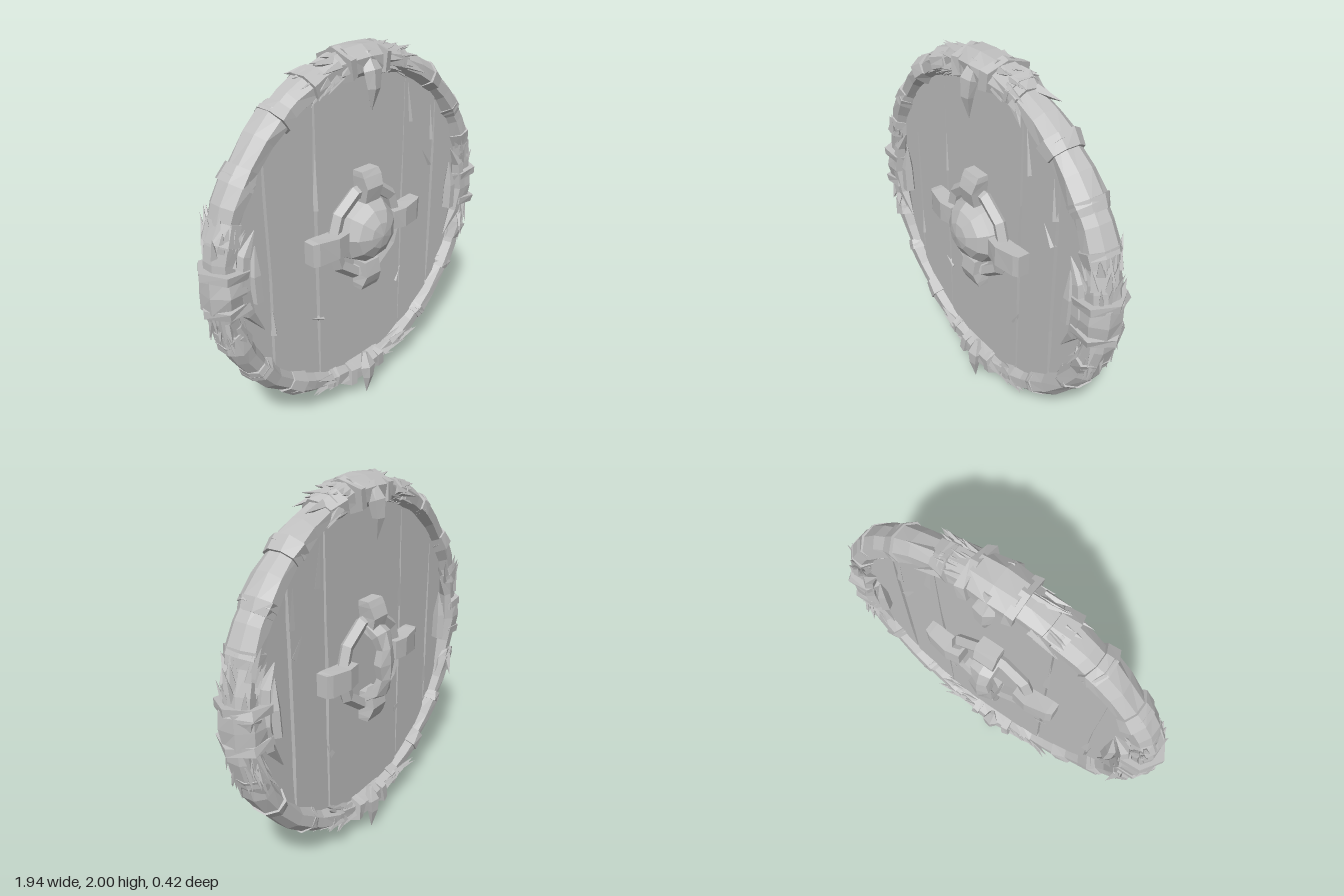
import * as THREE from 'three';
import { mergeGeometries } from 'three/addons/utils/BufferGeometryUtils.js';

const CY = 1.04, RIM = 0.873;
const V = (x, y, z) => new THREE.Vector3(x, y, z);

// small seeded random, returns a value between a and b
let seed = 7;
function rnd(a, b) {
  seed = (seed * 16807) % 2147483647;
  return a + (b - a) * (seed / 2147483647);
}

// faceted bar swept along points; hu is its half size along ref, hv its half size across
function sweep(points, ref, hu, hv, sides = 8, jitter = 0) {
  const rings = points.map((c, i) => {
    const t = points[Math.min(i + 1, points.length - 1)].clone().sub(points[Math.max(i - 1, 0)]).normalize();
    const v = t.cross(ref).normalize();
    const ring = [];
    for (let k = 0; k < sides; k++) {
      const a = ((k + 0.5) / sides) * Math.PI * 2, s = 1 / Math.cos(Math.PI / sides);
      const j = s * (1 + rnd(-jitter, jitter));
      ring.push(c.clone().addScaledVector(ref, Math.cos(a) * hu[i] * j).addScaledVector(v, Math.sin(a) * hv[i] * j));
    }
    return ring;
  });
  const pos = [];
  const tri = (...p) => p.forEach((q) => pos.push(q.x, q.y, q.z));
  const last = points.length - 1;
  for (let k = 0; k < sides; k++) {
    const n = (k + 1) % sides;
    for (let i = 0; i < last; i++) {
      const A = rings[i], B = rings[i + 1];
      tri(A[k], A[n], B[n]);
      tri(A[k], B[n], B[k]);
    }
    tri(points[0], rings[0][n], rings[0][k]);
    tri(points[last], rings[last][k], rings[last][n]);
  }
  const g = new THREE.BufferGeometry();
  g.setAttribute('position', new THREE.Float32BufferAttribute(pos, 3));
  g.computeVertexNormals();
  return g;
}

const onRim = (a, r = RIM, z = 0) => V(Math.cos(a) * r, CY + Math.sin(a) * r, z);
const Z = V(0, 0, 1), X = V(1, 0, 0);

export function createModel() {
  seed = 7;
  const shield = new THREE.Group();
  shield.name = 'roundShield';
  const grey = new THREE.MeshStandardMaterial({ color: 0xc0c0c0, flatShading: true });
  grey.name = 'plain grey';
  const add = (name, geo) => {
    const m = new THREE.Mesh(geo, grey);
    m.name = name;
    shield.add(m);
    return m;
  };

  // vertical planks with rough ends, over a thin core that closes the cracks
  const core = new THREE.CylinderGeometry(0.79, 0.79, 0.05, 28).rotateX(Math.PI / 2).translate(0, CY, 0);
  add('plankCore', core);
  const seams = [-0.82, -0.62, -0.315, 0.32, 0.58, 0.82];
  for (let i = 0; i < 5; i++) {
    const x0 = seams[i] + 0.004, x1 = seams[i + 1] - 0.004, steps = 6;
    const shape = new THREE.Shape();
    for (const s of [-1, 1]) {
      for (let k = 0; k <= steps; k++) {
        const f = s < 0 ? k / steps : 1 - k / steps;
        const x = x0 + (x1 - x0) * f;
        const y = CY + s * Math.sqrt(Math.max(0.004, rnd(0.81, 0.85) ** 2 - x * x));
        if (s < 0 && k === 0) shape.moveTo(x, y);
        else shape.lineTo(x, y);
      }
      // slightly wavering long edge
      const x = s < 0 ? x1 : x0;
      for (const h of [-0.3, 0.05, 0.3]) shape.lineTo(x + (s < 0 ? -1 : 1) * rnd(0, 0.012), CY - s * h);
    }
    const d = [0.086, 0.094, 0.1, 0.092, 0.086][i];
    add('plank', new THREE.ExtrudeGeometry(shape, { depth: d, bevelEnabled: false }).translate(0, 0, -d / 2));
  }

  // splinters lifting off the planks on both faces
  const chips = [];
  for (const [x, y, len, tilt] of [[0.52, 1.3, 0.13, 0.6], [0.55, 1.5, 0.22, 0.1], [-0.61, 0.76, 0.16, 0.05],
    [-0.33, 0.64, 0.1, 1.2], [0.31, 0.65, 0.1, -0.5], [0.36, 1.66, 0.25, 0.15], [-0.31, 1.4, 0.3, 0]]) {
    for (const s of [-1, 1]) {
      chips.push(new THREE.ConeGeometry(0.022, len, 3).scale(1, 1, 0.7).rotateZ(tilt).translate(x, y, s * 0.045));
    }
  }
  add('splinters', mergeGeometries(chips));

  // rim: overlapping wrapped segments with a raised binding at every joint
  const segs = 20, step = (Math.PI * 2) / segs;
  const wraps = [], bindings = [];
  for (let i = 0; i < segs; i++) {
    const a = i * step + rnd(-0.04, 0.04);
    const path = [0, 0.5, 1.15].map((f) => onRim(a + f * step, RIM + rnd(-0.006, 0.006)));
    wraps.push(sweep(path, Z, [0.092, 0.084, 0.074], [0.068, 0.064, 0.056], 8, 0.05));
    const w = rnd(0.03, 0.06), z = rnd(-0.01, 0.01);
    bindings.push(sweep([onRim(a - w), onRim(a + w, RIM, z)], Z, [0.086, 0.098], [0.06, 0.073], 8, 0.07));
  }
  add('rim', mergeGeometries(wraps));
  add('rimBindings', mergeGeometries(bindings));

  // clasps at the four quarters, each with fur tufts sweeping away on both sides
  for (let q = 0; q < 4; q++) {
    const a = (q * Math.PI) / 2, side = q % 2 === 0;
    const r = side ? 0.845 : RIM, h = side ? 0.105 : 0.078;
    const w = side ? 0.1 : 0.13;
    add('clasp', sweep([onRim(a - w, r), onRim(a, r), onRim(a + w, r)], Z, [0.1, 0.11, 0.1], [h, h, h], 8, 0.05));
    for (const e of [-1, 1]) {
      add('claspEdge', sweep([onRim(a + e * w - 0.025, r), onRim(a + e * w + 0.025, r)], Z, [0.115, 0.115], [h, h], 6, 0.08));
      const tuft = [];
      for (let k = 0; k < 30; k++) {
        const off = a + e * rnd(0.13, side ? 0.33 : 0.38), p = rnd(0, Math.PI * 2);
        const radial = V(Math.cos(off), Math.sin(off), 0);
        const tangent = V(-Math.sin(off), Math.cos(off), 0).multiplyScalar(e);
        const out = radial.clone().multiplyScalar(Math.sin(p)).addScaledVector(Z, Math.cos(p));
        const base = onRim(off, RIM + Math.sin(p) * 0.053, Math.cos(p) * 0.085);
        const dir = tangent.addScaledVector(out, rnd(0.12, 0.5)).normalize();
        const len = rnd(0.08, 0.15);
        const turn = new THREE.Quaternion().setFromUnitVectors(V(0, 1, 0), dir);
        tuft.push(new THREE.ConeGeometry(rnd(0.016, 0.03), len, 4).translate(0, len * 0.3, 0)
          .applyQuaternion(turn).translate(base.x, base.y, base.z));
      }
      add('furTuft', mergeGeometries(tuft));
    }
  }

  for (const s of [-1, 1]) {
    // fangs hanging from the top and bottom clasps
    add('topFang', sweep([V(0, 1.96, s * 0.07), V(0, 1.88, s * 0.115), V(0, 1.8, s * 0.125), V(0, 1.69, s * 0.115)],
      X, [0.02, 0.045, 0.032, 0.001], [0.02, 0.03, 0.022, 0.001], 5));
    add('bottomFang', sweep([V(0, 0.27, s * 0.08), V(0, 0.19, s * 0.105), V(0, 0.12, s * 0.11), V(0, 0, s * 0.1)],
      X, [0.012, 0.042, 0.03, 0.001], [0.015, 0.03, 0.022, 0.001], 5));

    // curved horns beside the left and right clasps
    for (const m of [-1, 1]) {
      const horn = [[0.71, 1.3], [0.78, 1.2], [0.805, 1.04], [0.775, 0.9], [0.69, 0.77]];
      add('sideHorn', sweep(horn.map(([x, y]) => V(m * x, y, s * 0.075)), Z,
        [0.002, 0.028, 0.038, 0.028, 0.002], [0.002, 0.025, 0.034, 0.025, 0.002], 5));
      const tooth = [[0.72, 0.94], [0.725, 1.08], [0.71, 1.22]];
      add('sideTooth', sweep(tooth.map(([x, y]) => V(m * x, y, s * 0.07)), Z,
        [0.03, 0.028, 0.002], [0.028, 0.026, 0.002], 5));
    }

    // ring and four strap arms on each face
    add('centreRing', new THREE.TorusGeometry(0.235, 0.038, 5, 10).translate(0, CY + 0.01, s * 0.072));
    for (let q = 0; q < 4; q++) {
      const a = (q * Math.PI) / 2, d = V(Math.cos(a), Math.sin(a), 0);
      const reach = q % 2 ? 0.335 : 0.395;
      const path = [0.17, 0.25, reach - 0.03, reach].map((r, i) =>
        d.clone().multiplyScalar(r).add(V(0, CY + 0.015, s * [0.09, 0.098, 0.085, 0.075][i])));
      add('strapArm', sweep(path, Z, [0.04, 0.048, 0.04, 0.034], [0.052, 0.055, 0.062, 0.06], 4, 0.04));
    }
  }

  // low-poly domed boss on the front
  add('boss', new THREE.SphereGeometry(0.192, 9, 4, 0, Math.PI * 2, 0, Math.PI / 2)
    .rotateX(Math.PI / 2).scale(1, 0.97, 0.8).translate(0, CY + 0.015, 0.055));

  // wrapped hand grip on the back
  const grip = [[0.84, -0.06], [0.9, -0.15], [0.98, -0.168], [1.06, -0.165], [1.14, -0.168], [1.21, -0.15], [1.27, -0.06]];
  add('handGrip', sweep(grip.map(([y, z]) => V(0, y, z)), X,
    [0.065, 0.06, 0.045, 0.06, 0.045, 0.06, 0.065], [0.03, 0.035, 0.034, 0.042, 0.034, 0.035, 0.03], 6, 0.08));

  return shield;
}
